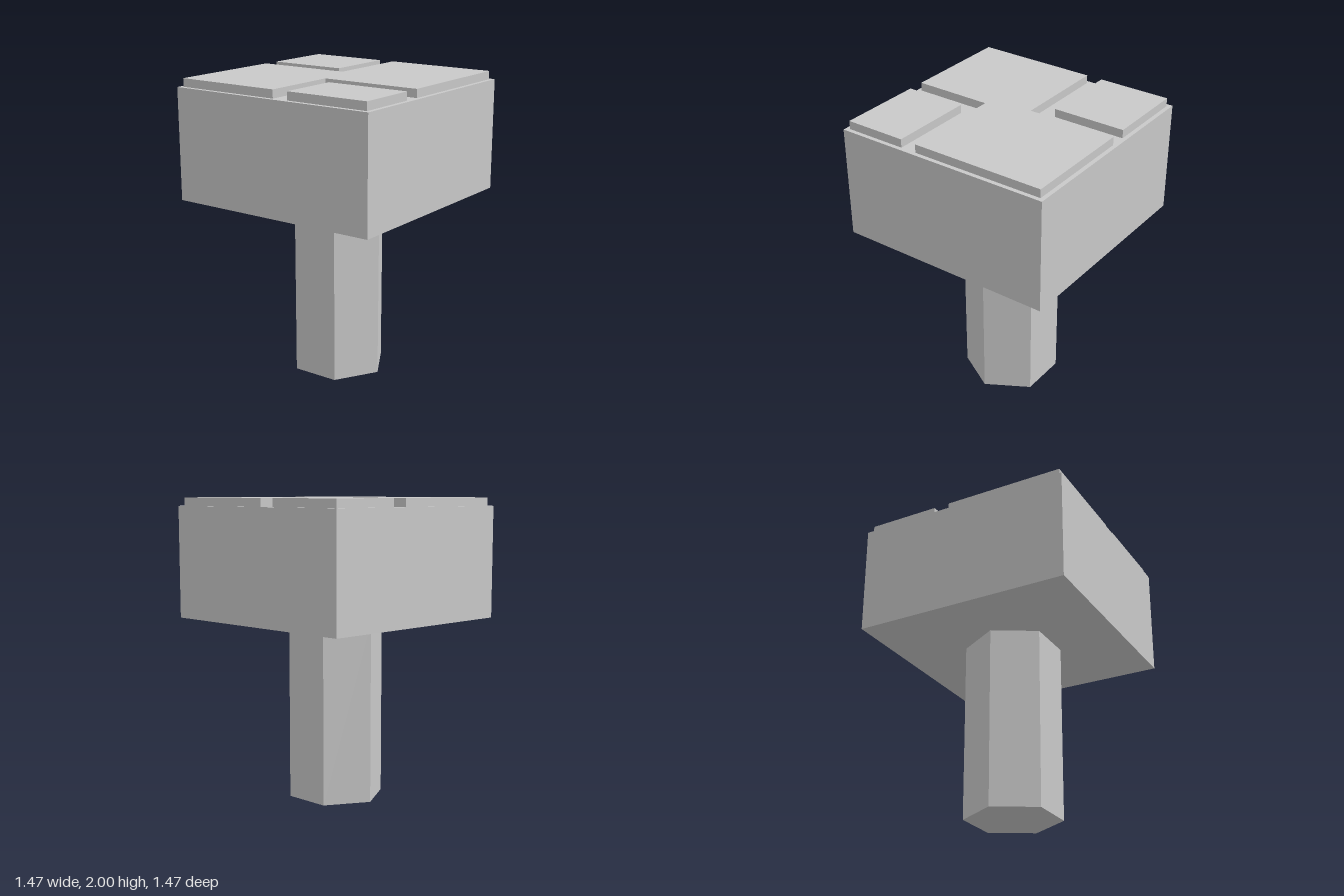
import * as THREE from 'three';

export function createModel() {
  const model = new THREE.Group();
  const grey = new THREE.MeshStandardMaterial({ color: 0xc8c8c8, flatShading: true });
  grey.name = 'plain grey';

  const add = (name, geometry, y) => {
    const mesh = new THREE.Mesh(geometry, grey);
    mesh.name = name;
    mesh.position.y = y;
    model.add(mesh);
  };

  const bottom = 1.205, face = 1.945, top = 2, half = 0.733, edge = 0.705;

  // Hexagonal handle with corners pointing left and right
  add('handle', new THREE.CylinderGeometry(0.32, 0.32, bottom, 6, 1, false, Math.PI / 6), bottom / 2);

  // Square block
  add('block', new THREE.BoxGeometry(half * 2, face - bottom, half * 2), (bottom + face) / 2);

  // Raised pads on the block, outlined by [x, z] corners
  const pad = (name, corners) => {
    const shape = new THREE.Shape(corners.map(([x, z]) => new THREE.Vector2(x, -z)));
    const geometry = new THREE.ExtrudeGeometry(shape, { depth: top - face, bevelEnabled: false });
    add(name, geometry.rotateX(-Math.PI / 2), face);
  };
  const rectangle = (x0, z0, x1, z1) => [[x0, z0], [x0, z1], [x1, z1], [x1, z0]];

  pad('steppedPad', [
    [-edge, -0.108], [-edge, edge], [0.025, edge], [0.025, 0.185],
    [edge, 0.185], [edge, -edge], [-0.055, -edge], [-0.055, -0.108],
  ]);
  pad('backRightPad', rectangle(-edge, -edge, -0.163, -0.217));
  pad('frontLeftPad', rectangle(0.133, 0.293, edge, edge));

  return model;
}
